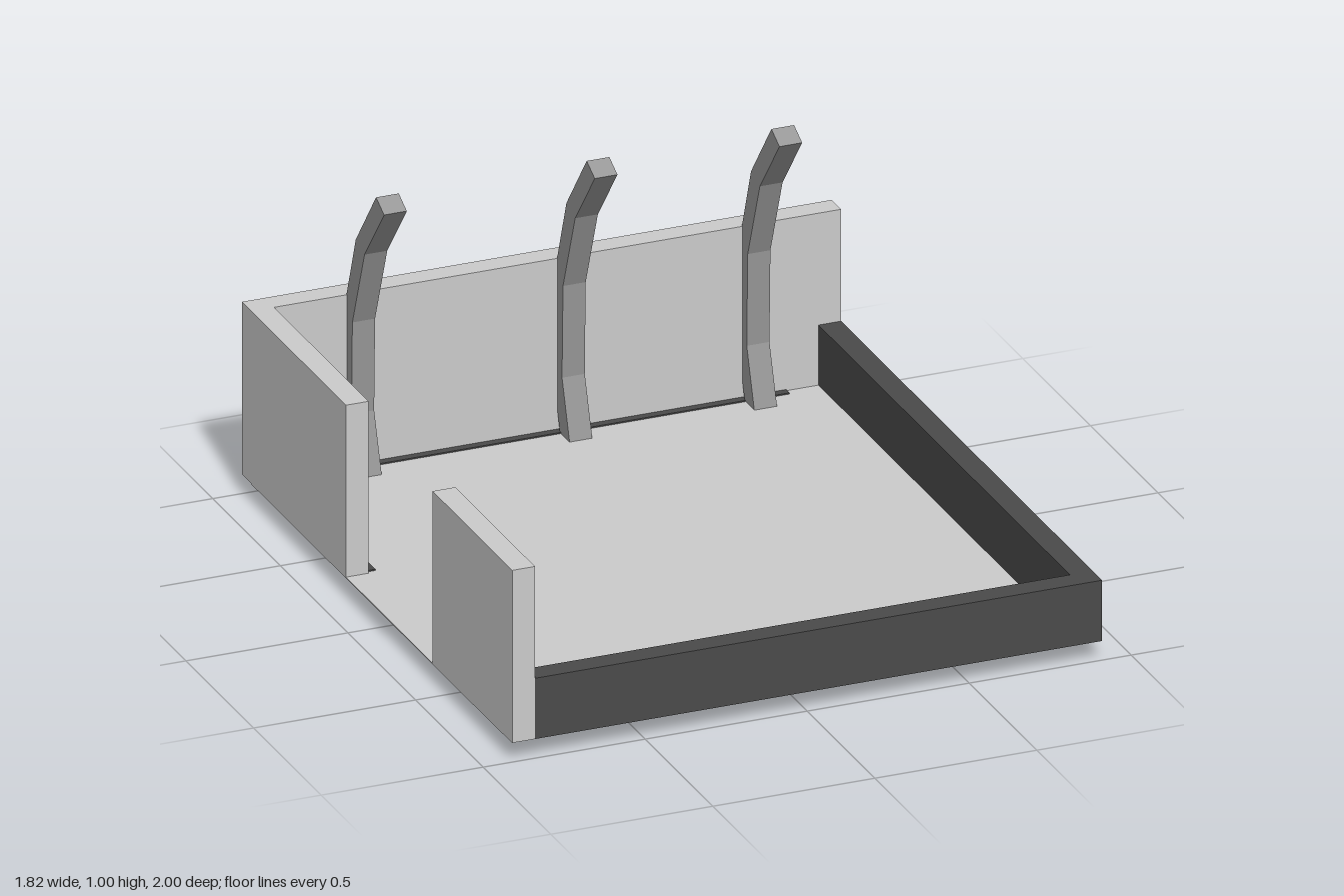
import * as THREE from 'three';

const light = new THREE.MeshStandardMaterial({ color: 0xcccccc });
const dark = new THREE.MeshStandardMaterial({ color: 0x4a4a4a });
const mid = new THREE.MeshStandardMaterial({ color: 0x979797 });

const BASE = 0.06, LOW = 0.25, HIGH = 0.6; // floor level and the two wall heights
const OUT = 0.91, IN = 0.84;               // outer and inner wall faces in x

export function createModel() {
  const model = new THREE.Group();

  const add = (name, geometry, material) => {
    const mesh = new THREE.Mesh(geometry, material);
    mesh.name = name;
    model.add(mesh);
    return mesh;
  };
  const box = (name, [x0, x1], [y0, y1], [z0, z1], material) =>
    add(name, new THREE.BoxGeometry(x1 - x0, y1 - y0, z1 - z0), material)
      .position.set((x0 + x1) / 2, (y0 + y1) / 2, (z0 + z1) / 2);
  const extrude = (points, depth) => new THREE.ExtrudeGeometry(
    new THREE.Shape(points.map(([x, y]) => new THREE.Vector2(x, y))),
    { depth, bevelEnabled: false });

  // Floor sheet inside the walls, reaching the open edge on the -x side
  box('floor', [-OUT, IN], [0.058, 0.062], [-0.93, 0.93], light);

  // Low L-shaped kerb along the front and the +x side (plan drawn as x, -z)
  const kerb = extrude([
    [-IN, -1], [OUT, -1], [OUT, 1], [IN, 1], [IN, -0.93], [-IN, -0.93],
  ], LOW - BASE);
  kerb.rotateX(-Math.PI / 2).translate(0, BASE, 0);
  add('lowKerb', kerb, dark);

  // Tall back wall, notched over the end of the kerb
  const back = extrude([
    [-OUT, BASE], [IN, BASE], [IN, LOW], [OUT, LOW], [OUT, HIGH], [-OUT, HIGH],
  ], 0.07);
  back.translate(0, 0, -1);
  add('backWall', back, light);

  // Two tall side walls with an opening between them
  box('sideWallBack', [-OUT, -IN], [BASE, HIGH], [-0.93, -0.23], light);
  box('sideWallFront', [-OUT, -IN], [BASE, HIGH], [0.41, 1], light);

  // Thin foundation strips below the tall walls
  const strip = [0.054, 0.066];
  box('backStrip', [-0.89, 0.74], strip, [-0.98, -0.905], dark);
  box('sideStripBack', [-0.89, -0.815], strip, [-0.905, -0.24], dark);
  box('sideStripFront', [-0.89, -0.815], strip, [0.385, 0.97], dark);

  // Bent posts curving forward over the back wall (profile drawn as z, y)
  const post = extrude([
    [-0.825, 0.01], [-0.897, 0.24], [-0.89, 0.53], [-0.80, 0.78], [-0.655, 0.965],
    [-0.715, 0.995], [-0.865, 0.80], [-0.957, 0.53], [-0.965, 0.24], [-0.895, 0],
  ], 0.07);
  post.rotateY(-Math.PI / 2).translate(0.035, 0, 0);
  for (const x of [-0.58, 0.07, 0.64]) add('bentPost', post, mid).position.x = x;

  return model;
}
